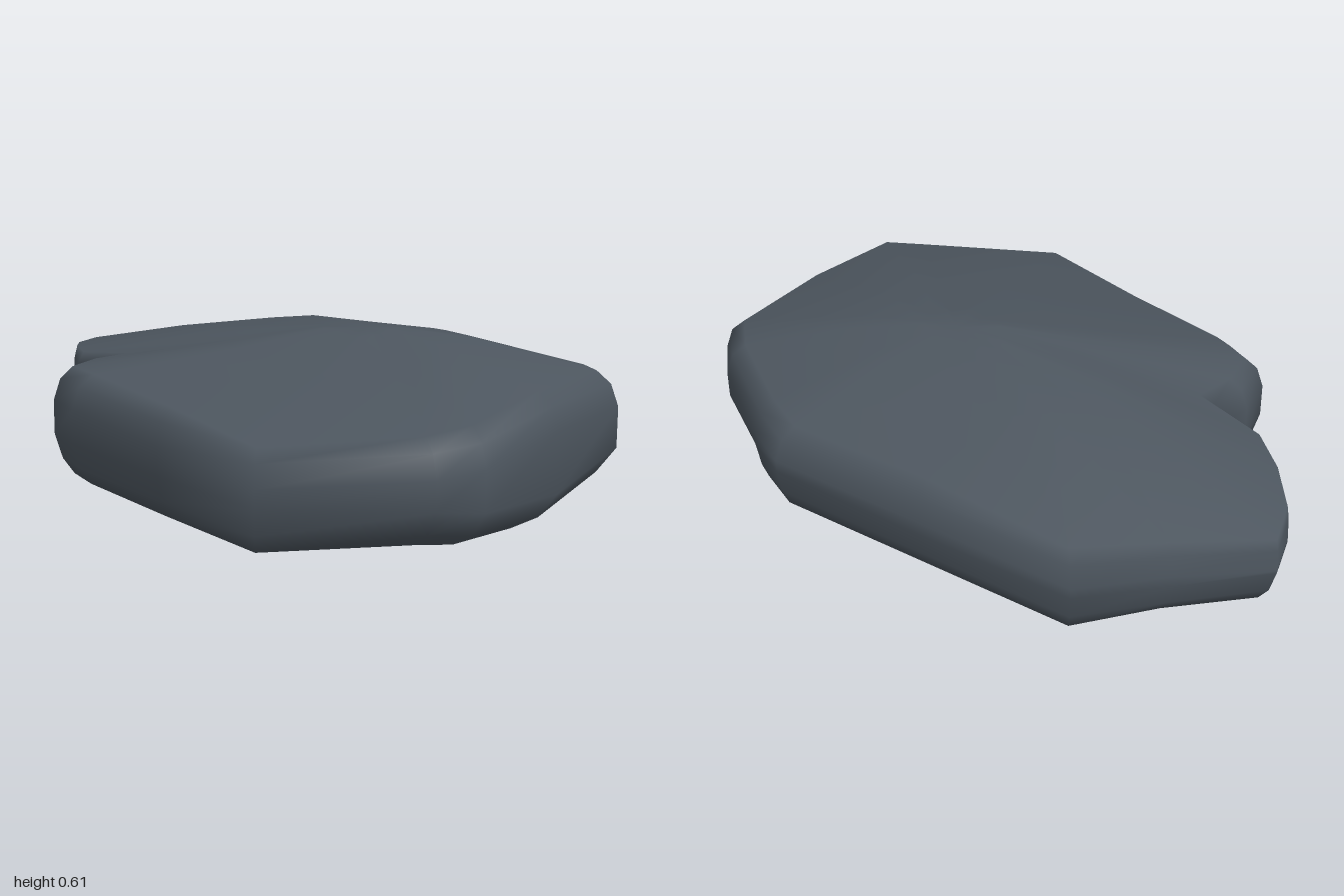
import * as THREE from 'three';

// Outline of the rock, from the left end round by the front: [x, z, top edge, bottom edge]
const OUTLINE = [
  [-1.00, -0.18, 0.41, 0.16],
  [-0.95, -0.04, 0.42, 0.16],
  [-0.85, 0.08, 0.44, 0.15],
  [-0.74, 0.18, 0.45, 0.13],
  [-0.53, 0.22, 0.48, 0.11],
  [-0.55, 0.36, 0.48, 0.13],
  [-0.52, 0.50, 0.48, 0.13],
  [-0.38, 0.56, 0.48, 0.13],
  [0.05, 0.645, 0.45, 0.12],
  [0.49, 0.735, 0.415, 0.12],
  [0.90, 0.45, 0.45, 0.12],
  [0.99, 0.34, 0.475, 0.11],
  [0.995, -0.04, 0.51, 0.08],
  [0.98, -0.42, 0.51, 0.14],
  [0.88, -0.52, 0.50, 0.17],
  [0.60, -0.68, 0.48, 0.19],
  [0.45, -0.74, 0.47, 0.19],
  [-0.08, -0.695, 0.465, 0.18],
  [-0.61, -0.65, 0.455, 0.18],
  [-0.80, -0.42, 0.445, 0.17],
];
const CORE = [0.1, 0];
const PEAK = [0.25, 0.605, -0.11];
const BASE = [0.32, 0, -0.03];
const { smoothstep } = THREE.MathUtils;

// Moves an outline point towards the core by a distance
function inset(x, z, amount, y) {
  const dx = CORE[0] - x, dz = CORE[1] - z, d = Math.hypot(dx, dz);
  return [x + (dx / d) * amount, y, z + (dz / d) * amount];
}

// Blends an edge point towards a pole, with an extra bulge in height
function blend(edge, pole, t, bulge) {
  const p = edge.map((v, i) => v + (pole[i] - v) * t);
  p[1] += bulge;
  return p;
}

// One rib from the belly, up the rounded wall, to the crown
function rib([x, z, top, bottom]) {
  // The left end is sharp above; the right end is well rounded below
  const topInset = 0.01 + 0.06 * smoothstep(x, -1, -0.4) - 0.03 * smoothstep(z, 0.55, 0.75);
  const bottomInset = 0.03 + 0.03 * smoothstep(z, -0.7, -0.4)
    - 0.04 * smoothstep(z, 0.5, 0.75) + 0.09 * smoothstep(x, 0.65, 1);
  const lift = 0.005 + 0.025 * (1 - smoothstep(z, 0, 0.5));
  const drop = 0.03 - 0.02 * smoothstep(x, -0.8, -0.3) + 0.025 * smoothstep(x, 0.6, 0.9);
  const lowerEdge = inset(x, z, bottomInset, bottom);
  const upperEdge = inset(x, z, topInset, top);
  return [
    blend(lowerEdge, BASE, 0.85, -drop * 0.3),
    blend(lowerEdge, BASE, 0.45, -drop),
    lowerEdge,
    inset(x, z, bottomInset * 0.4, bottom + 0.05),
    inset(x, z, 0, bottom + 0.13),
    inset(x, z, 0, top - 0.11),
    inset(x, z, topInset * 0.35, top - 0.04),
    upperEdge,
    blend(upperEdge, PEAK, 0.53, lift),
    blend(upperEdge, PEAK, 0.85, 0.02),
  ];
}

function rockGeometry() {
  const ribs = OUTLINE.map(rib);
  const n = ribs.length, m = ribs[0].length;
  const base = n * m, peak = base + 1;
  const index = [];
  for (let i = 0; i < n; i++) {
    const a = i * m, b = ((i + 1) % n) * m;
    for (let k = 0; k < m - 1; k++) {
      index.push(a + k, b + k, b + k + 1, a + k, b + k + 1, a + k + 1);
    }
    // Close the belly and the crown
    index.push(base, b, a, peak, a + m - 1, b + m - 1);
  }

  const positions = [...ribs.flat(2), ...BASE, ...PEAK];
  const geometry = new THREE.BufferGeometry();
  geometry.setAttribute('position', new THREE.Float32BufferAttribute(positions, 3));
  geometry.setIndex(index);
  geometry.computeVertexNormals();
  return geometry;
}

export function createModel() {
  const slate = new THREE.MeshStandardMaterial({ color: 0x4d565f });
  slate.name = 'slate grey';

  const model = new THREE.Group();
  model.name = 'flatRock';
  const rock = new THREE.Mesh(rockGeometry(), slate);
  rock.name = 'rock';
  model.add(rock);
  return model;
}
